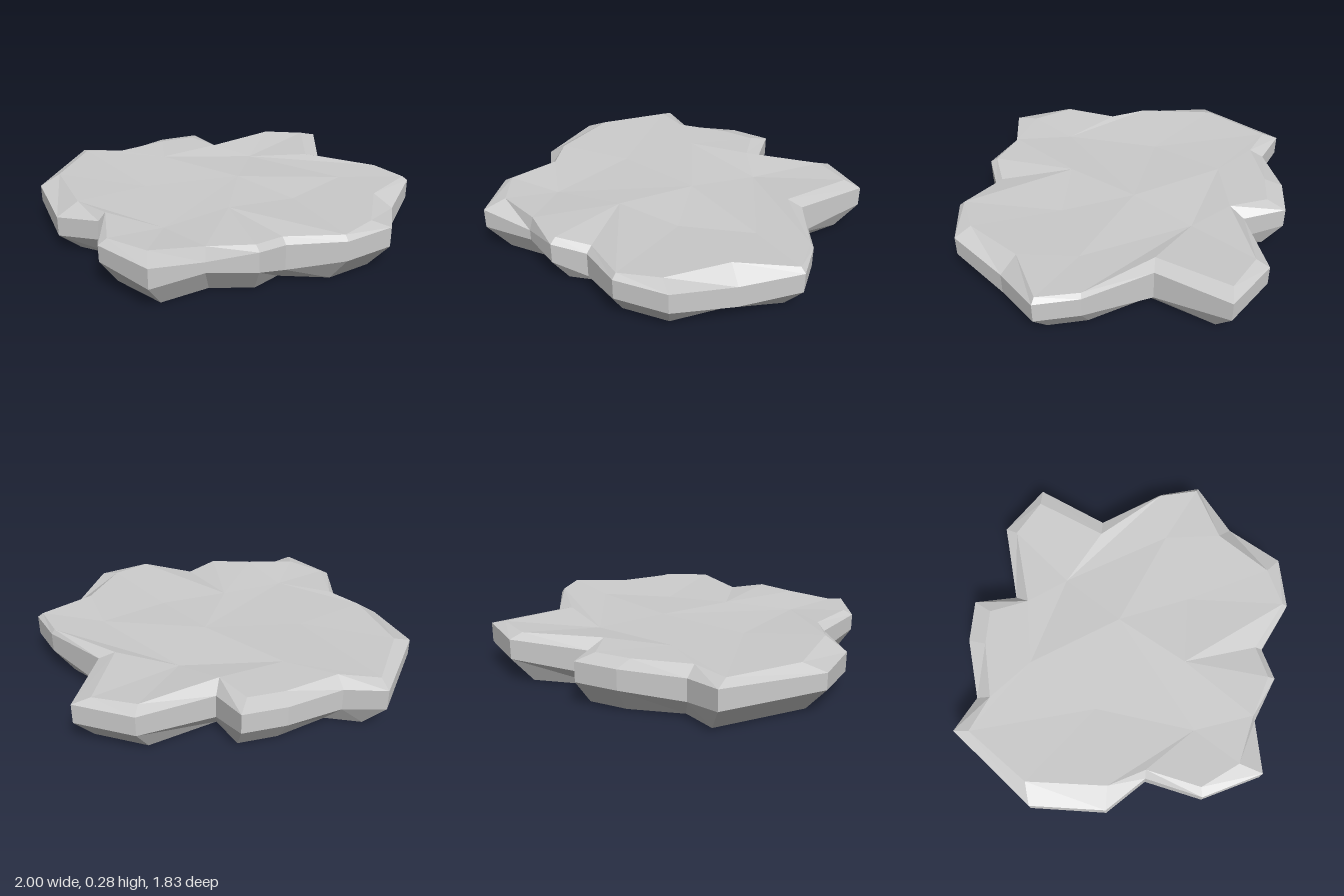
import * as THREE from 'three';

// Outer rim, clockwise from above: x, z, upper edge height, lower edge height
const rim = [
  [-0.63, -0.92, 0.25, 0.14], [-0.43, -0.82, 0.23, 0.11], [-0.10, -0.91, 0.25, 0.14],
  [0.14, -0.91, 0.25, 0.14], [0.20, -0.68, 0.22, 0.09], [0.63, -0.79, 0.25, 0.14],
  [0.91, -0.60, 0.25, 0.14], [0.72, -0.21, 0.25, 0.08], [0.94, 0.13, 0.25, 0.14],
  [1.00, 0.36, 0.25, 0.14], [0.75, 0.57, 0.20, 0.08], [0.54, 0.86, 0.25, 0.14],
  [0.25, 0.91, 0.25, 0.14], [-0.02, 0.77, 0.22, 0.08], [-0.20, 0.84, 0.25, 0.14],
  [-0.44, 0.74, 0.20, 0.14], [-0.74, 0.78, 0.25, 0.14], [-0.89, 0.46, 0.25, 0.16],
  [-0.81, 0.15, 0.23, 0.12], [-0.99, -0.05, 0.20, 0.09], [-1.00, -0.46, 0.23, 0.14],
];

// Edge of the upper face: x, z, index of the inner point it joins
const crown = [
  [-0.63, -0.83, 0], [-0.43, -0.74, 0], [-0.12, -0.81, 0], [0.08, -0.81, 0],
  [0.16, -0.60, 1], [0.60, -0.72, 1], [0.81, -0.60, 1], [0.63, -0.21, 1],
  [0.92, 0.13, 2], [0.97, 0.35, 2], [0.67, 0.50, 3], [0.46, 0.79, 3],
  [0.25, 0.88, 4], [-0.02, 0.73, 4], [-0.20, 0.80, 4], [-0.43, 0.72, 5],
  [-0.70, 0.65, 5], [-0.84, 0.45, 5], [-0.77, 0.15, 5], [-0.87, -0.05, 6], [-0.88, -0.49, 6],
];

// Uneven inner points of the upper face
const inner = [
  [-0.21, 0.27, -0.54], [0.32, 0.245, -0.39], [0.64, 0.26, 0.18], [0.25, 0.25, 0.33],
  [-0.14, 0.265, 0.33], [-0.53, 0.25, 0.40], [-0.45, 0.255, -0.15],
];
const centre = [0.09, 0.265, -0.06];

function facetMesh(name, triangles) {
  const geometry = new THREE.BufferGeometry();
  geometry.setAttribute('position', new THREE.Float32BufferAttribute(triangles.flat(2), 3));
  geometry.computeVertexNormals();
  const mesh = new THREE.Mesh(geometry,
    new THREE.MeshStandardMaterial({ color: 0xcccccc, flatShading: true }));
  mesh.name = name;
  return mesh;
}

// Band of outward-facing quads between two closed rings
function band(upper, lower) {
  return upper.flatMap((a, i) => {
    const j = (i + 1) % upper.length;
    return [[upper[j], lower[j], lower[i]], [upper[j], lower[i], a]];
  });
}

export function createModel() {
  const group = new THREE.Group();
  group.name = 'rockSlab';

  const n = rim.length;
  const top = crown.map(([x, z], i) => [x, i === 13 ? 0.25 : 0.275, z]);
  const upper = rim.map(([x, z, high]) => [x, high, z]);
  const lower = rim.map(([x, z, , low]) => [x, low, z]);
  const foot = rim.map(([x, z]) => [x * 0.885, 0, z * 0.885]);

  // Faceted upper face: edge, inner points, then centre
  const surface = [];
  const base = [];
  for (let i = 0; i < n; i++) {
    const j = (i + 1) % n;
    const a = inner[crown[i][2]];
    const b = inner[crown[j][2]];
    surface.push([top[j], top[i], a]);
    if (a !== b) surface.push([top[j], a, b], [b, a, centre]);
    base.push([foot[i], foot[j], [0, 0, 0]]);
  }

  group.add(
    facetMesh('upperFace', surface),
    facetMesh('bevel', band(top, upper)),
    facetMesh('sideWall', band(upper, lower)),
    facetMesh('taperedUnderside', band(lower, foot)),
    facetMesh('base', base),
  );
  return group;
}
